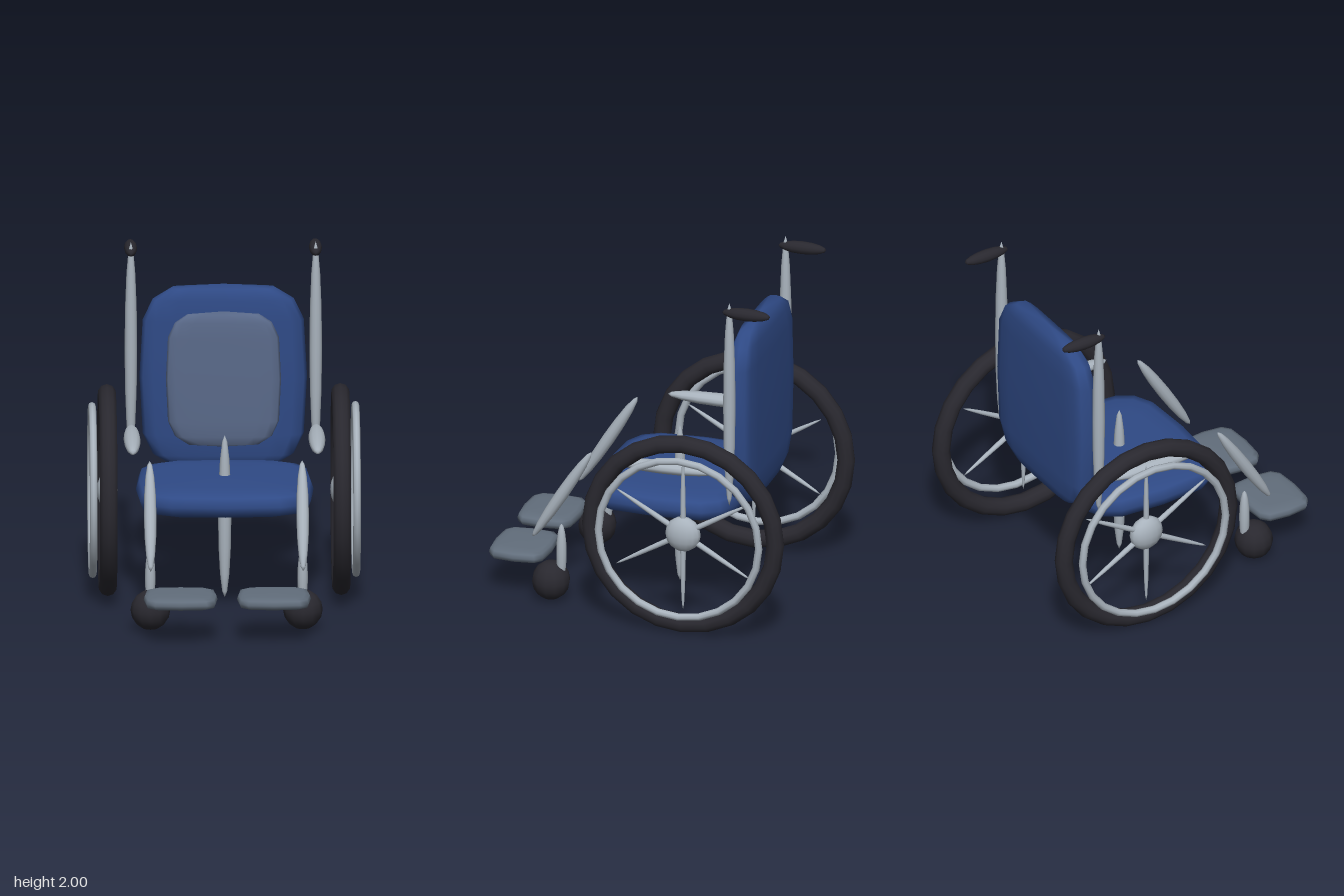
import * as THREE from 'three';
import { mergeVertices } from 'three/addons/utils/BufferGeometryUtils.js';

const material = (name, color) => {
  const m = new THREE.MeshStandardMaterial({ color });
  m.name = name;
  return m;
};

export function createModel() {
  const fabric = material('navy fabric', 0x2f4a86);
  const panel = material('slate padding', 0x5a6a8a);
  const plate = material('grey plate', 0x626e7c);
  const metal = material('pale metal', 0xa9b3bd);
  const rubber = material('black rubber', 0x29282f);

  const model = new THREE.Group();
  model.name = 'wheelchair';

  const add = (parent, name, geometry, mat, position) => {
    const mesh = new THREE.Mesh(geometry, mat);
    mesh.name = name;
    mesh.position.set(...position);
    parent.add(mesh);
    return mesh;
  };

  // Squashed ball
  const ball = (parent, name, mat, position, size, segments = 12) => {
    const g = new THREE.SphereGeometry(1, segments, 8).scale(...size);
    return add(parent, name, g, mat, position);
  };

  // Cushion: a ball swollen towards a box
  const cushion = (parent, name, mat, position, size, segments = 16, rings = 8) => {
    let g = new THREE.SphereGeometry(1, segments, rings);
    g.deleteAttribute('uv');
    g.deleteAttribute('normal');
    const p = g.attributes.position;
    const swell = (v) => (Math.abs(v) < 1e-6 ? 0 : Math.sign(v) * Math.sqrt(Math.abs(v)));
    for (let i = 0; i < p.count; i++) {
      p.setXYZ(i, swell(p.getX(i)) * size[0], swell(p.getY(i)) * size[1], swell(p.getZ(i)) * size[2]);
    }
    g = mergeVertices(g, 1e-4);
    g.computeVertexNormals();
    return add(parent, name, g, mat, position);
  };

  // Tapered rod between two points
  const rod = (parent, name, mat, from, to, rx, rz = rx) => {
    const a = new THREE.Vector3(...from);
    const b = new THREE.Vector3(...to);
    const dir = b.clone().sub(a);
    const mid = a.clone().add(b).multiplyScalar(0.5);
    const mesh = ball(parent, name, mat, mid.toArray(), [rx, dir.length() / 2, rz]);
    mesh.quaternion.setFromUnitVectors(new THREE.Vector3(0, 1, 0), dir.normalize());
    return mesh;
  };

  // Seat, backrest and central column
  cushion(model, 'seat', fabric, [0, 0.67, -0.1], [0.505, 0.085, 0.447]);
  cushion(model, 'backrest', fabric, [0, 1.21, -0.575], [0.476, 0.54, 0.083]);
  cushion(model, 'backrestPanel', panel, [0, 1.21, -0.5], [0.328, 0.397, 0.042]);
  rod(model, 'centreColumn', metal, [0, 0.035, -0.095], [0, 0.985, -0.095], 0.038);

  for (const s of [1, -1]) {
    const side = new THREE.Group();
    side.name = s > 0 ? 'leftSide' : 'rightSide';
    model.add(side);

    // Big wheel with hub, spokes and push rim
    const wheel = new THREE.Group();
    wheel.name = 'driveWheel';
    wheel.position.set(s * 0.663, 0.607, -0.325);
    side.add(wheel);
    const tyre = new THREE.TorusGeometry(0.55, 0.052, 10, 24).rotateY(Math.PI / 2);
    add(wheel, 'tyre', tyre, rubber, [0, 0, 0]);
    const rim = new THREE.TorusGeometry(0.478, 0.022, 8, 24).rotateY(Math.PI / 2);
    add(wheel, 'pushRim', rim, metal, [s * 0.085, 0, 0]);
    ball(wheel, 'hub', metal, [0, 0, 0], [0.06, 0.105, 0.105], 16);
    for (let i = 0; i < 3; i++) {
      const a = Math.PI / 2 + (i * Math.PI) / 3;
      const y = Math.sin(a) * 0.465;
      const z = Math.cos(a) * 0.465;
      rod(wheel, 'spoke', metal, [0, -y, -z], [0, y, z], 0.017);
    }

    // Back post, push handle and armrest
    rod(side, 'backPost', metal, [s * 0.525, 0.755, -0.557], [s * 0.525, 2, -0.557], 0.036);
    rod(side, 'pushHandle', rubber, [s * 0.525, 1.94, -0.515], [s * 0.525, 1.94, -0.8], 0.037);
    rod(side, 'armrest', metal, [s * 0.525, 0.943, 0.145], [s * 0.525, 0.943, -0.475], 0.048, 0.037);

    // Leg support, caster and footplate
    rod(side, 'legSupport', metal, [s * 0.433, 0.94, 0.295], [s * 0.433, 0.38, 0.645], 0.036);
    rod(side, 'casterFork', metal, [s * 0.433, 0.12, 0.473], [s * 0.433, 0.478, 0.473], 0.03);
    ball(side, 'caster', rubber, [s * 0.433, 0.128, 0.535], [0.113, 0.115, 0.11]);
    cushion(side, 'footplate', plate, [s * 0.265, 0.247, 0.75], [0.21, 0.037, 0.173], 12, 8);
  }
  return model;
}
